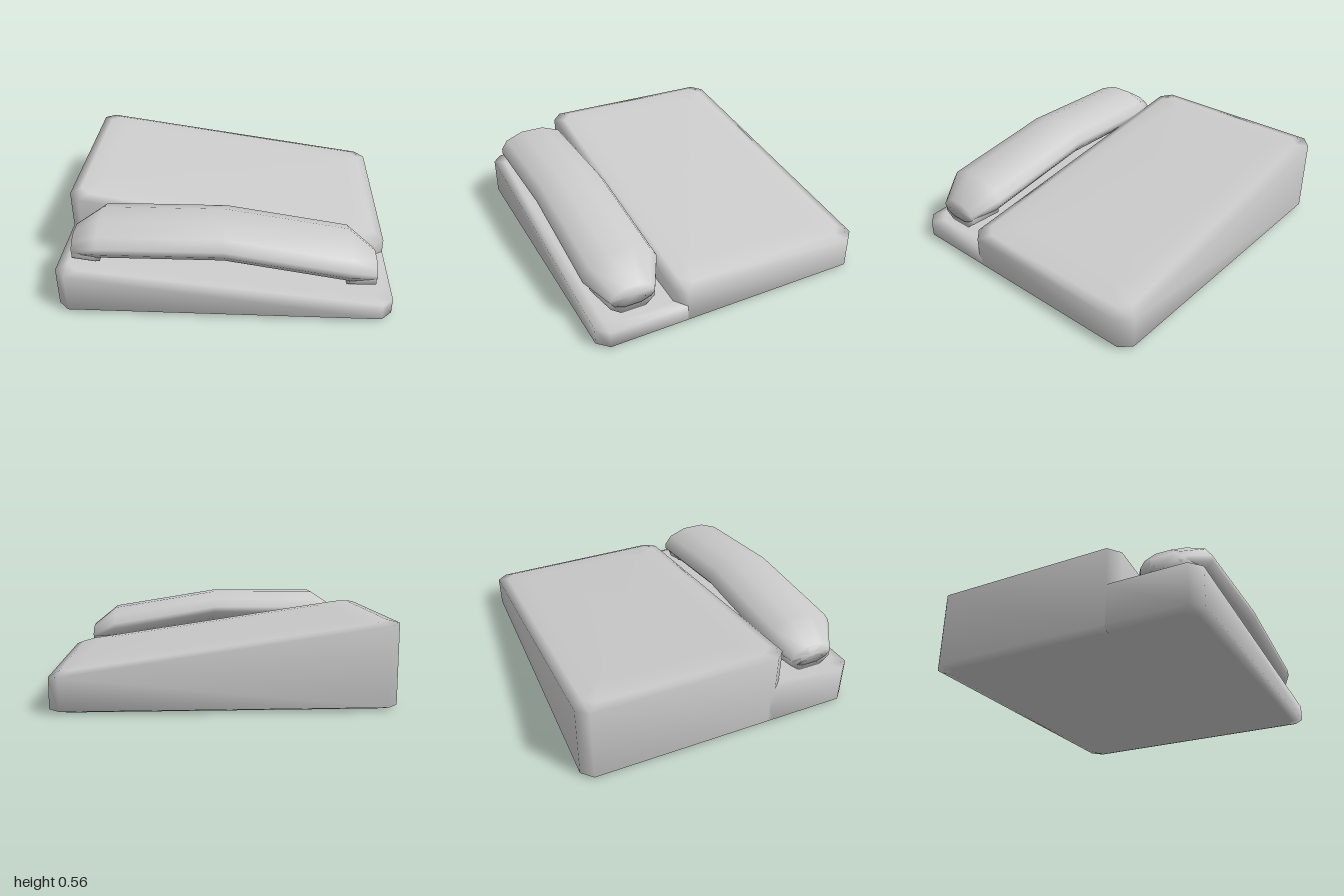
import * as THREE from 'three';

const material = new THREE.MeshStandardMaterial({ color: 0xcccccc });

// Smooth skin over a row of equal-length rings, closed by a fan at each end.
// skip: index of a ring edge to leave open.
function loft(name, rings, skip = -1) {
  const n = rings[0].length;
  const pos = [], index = [];
  rings.forEach(r => r.forEach(p => pos.push(...p)));
  for (let i = 0; i < rings.length - 1; i++) {
    for (let j = 0; j < n; j++) {
      if (j === skip) continue;
      const a = i * n + j, b = i * n + (j + 1) % n;
      index.push(a, b, a + n, b, b + n, a + n);
    }
  }
  [0, rings.length - 1].forEach((r, end) => {
    const centre = [0, 1, 2].map(k => rings[r].reduce((s, p) => s + p[k], 0) / n);
    const c = pos.length / 3;
    pos.push(...centre);
    for (let j = 0; j < n; j++) {
      const a = r * n + j, b = r * n + (j + 1) % n;
      if (end) index.push(c, a, b);
      else index.push(c, b, a);
    }
  });
  const g = new THREE.BufferGeometry();
  g.setAttribute('position', new THREE.Float32BufferAttribute(pos, 3));
  g.setIndex(index);
  g.computeVertexNormals();
  const mesh = new THREE.Mesh(g, material);
  mesh.name = name;
  return mesh;
}

// Rectangle with cut corners, inset by i, at the height given by y(x).
function footprint(i, z0, z1, y, openBack = false) {
  const c = 0.065, x = 1 - i;
  const back = openBack ? z0 : z0 + i, front = z1 - i;
  const backPoints = openBack
    ? [[x, back], [-x, back]]
    : [[x, back + c], [x - c, back], [c - x, back], [-x, back + c]];
  return [[x, front - c], ...backPoints, [-x, front - c], [c - x, front], [x - c, front]]
    .map(([px, pz]) => [px, y(px), pz]);
}

// Cross-section of the handset, scaled between a top and bottom height.
const HALF = [[0.075, 0], [0.19, 0.2], [0.23, 0.46], [0.23, 0.62], [0.19, 0.83], [0.085, 1]];
function section(x, top, bottom, halfWidth, half = HALF) {
  const right = half.map(([z, t]) => [x, top + (bottom - top) * t, 0.63 + z * halfWidth / 0.23]);
  const left = right.map(([px, py, pz]) => [px, py, 1.26 - pz]).reverse();
  return [...right, ...left];
}

export function createModel() {
  const group = new THREE.Group();

  // Sloping main housing
  const top = x => 0.373 - 0.148 * x;
  group.add(loft('housing', [
    footprint(0.06, -0.88, 0.395, () => 0),
    footprint(0, -0.88, 0.395, () => 0.02),
    footprint(0, -0.88, 0.395, x => top(x) - 0.02),
    footprint(0.06, -0.88, 0.395, top),
    footprint(0.2, -0.88, 0.395, x => top(x) + 0.008),
  ]));

  // Lower ledge in front that carries the handset
  const ledge = x => 0.203 - 0.0726 * x;
  group.add(loft('handsetLedge', [
    footprint(0.06, 0.31, 0.88, () => 0, true),
    footprint(0, 0.31, 0.88, () => 0.02, true),
    footprint(0, 0.31, 0.88, x => ledge(x) - 0.012, true),
    footprint(0.06, 0.31, 0.88, ledge, true),
  ], 1));

  // Handset: bent grip with tapered ends and two feet
  const handset = new THREE.Group();
  handset.name = 'handset';
  handset.add(loft('grip', [
    section(-0.905, 0.44, 0.3, 0.135),
    section(-0.735, 0.55, 0.33, 0.23),
    section(0, 0.555, 0.335, 0.23),
    section(0.74, 0.437, 0.212, 0.23),
    section(0.905, 0.305, 0.18, 0.135),
  ]));
  const foot = [[0.1, 0], [0.19, 0.3], [0.19, 0.65], [0.1, 1]];
  handset.add(loft('leftFoot', [
    section(0.73, 0.36, 0.155, 0.23, foot),
    section(0.9, 0.28, 0.14, 0.165, foot),
  ]));
  handset.add(loft('rightFoot', [
    section(-0.905, 0.42, 0.268, 0.165, foot),
    section(-0.75, 0.46, 0.275, 0.23, foot),
  ]));
  group.add(handset);

  return group;
}
